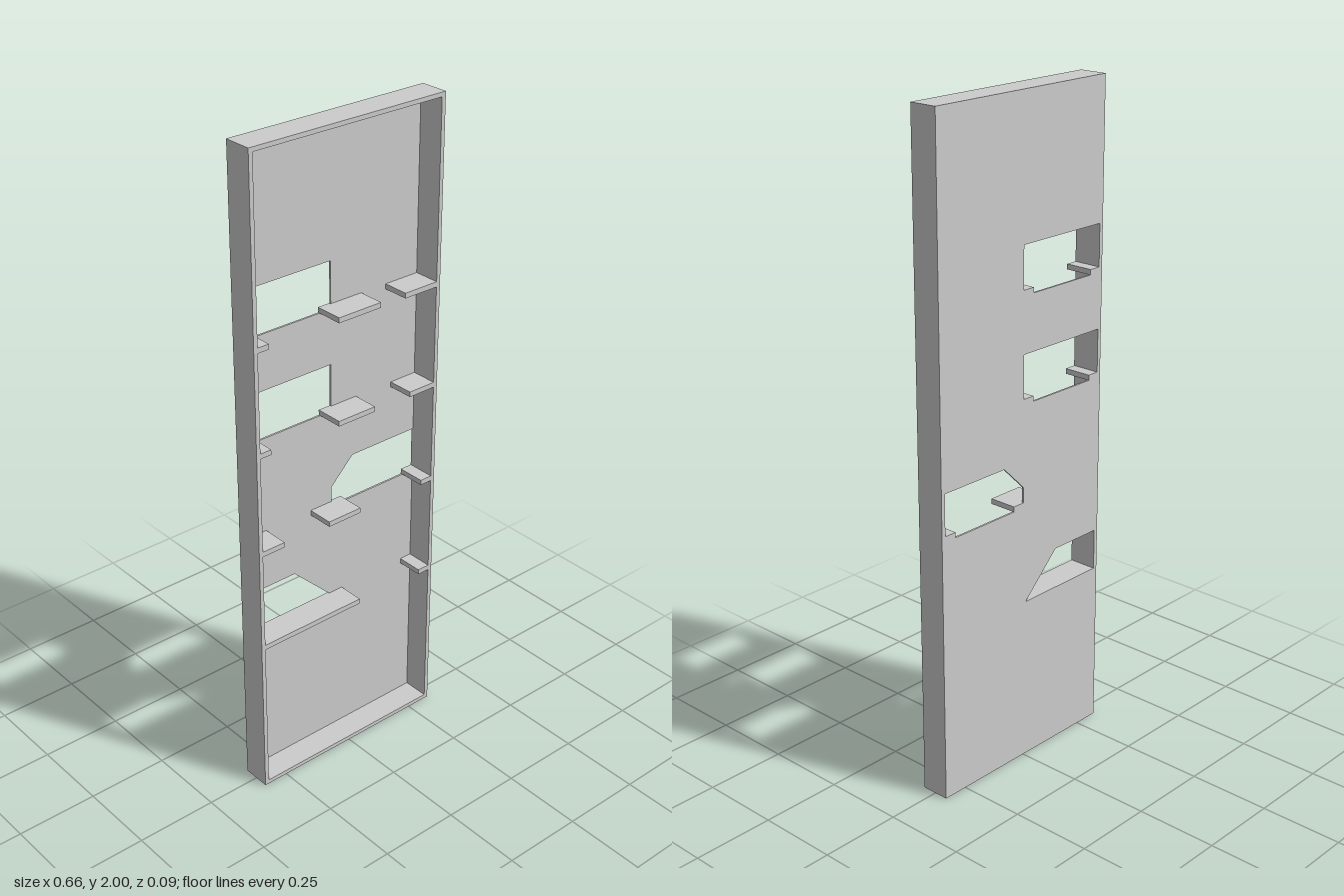
import * as THREE from 'three';

const W = 0.33, H = 2, D = 0.044;   // half width, height, half depth
const T = 0.013;                    // frame wall thickness
const P = 0.006;                    // back panel thickness
const IN = W - T;                   // inner half width

const material = new THREE.MeshStandardMaterial({ color: 0xcccccc, flatShading: true });

const points = (list) => list.map(([x, y]) => new THREE.Vector2(x, y));
const rect = (x0, y0, x1, y1) => [[x0, y0], [x1, y0], [x1, y1], [x0, y1]];

// Flat outline with cut-outs, extruded from z0 to z1
function plate(name, outline, holes, z0, z1) {
  const shape = new THREE.Shape(points(outline));
  holes.forEach((h) => shape.holes.push(new THREE.Path(points(h))));
  const geometry = new THREE.ExtrudeGeometry(shape, { depth: z1 - z0, bevelEnabled: false });
  geometry.translate(0, 0, z0);
  const mesh = new THREE.Mesh(geometry, material);
  mesh.name = name;
  return mesh;
}

export function createModel() {
  const group = new THREE.Group();
  group.name = 'shelfPanel';

  // Back panel with four window openings
  const windows = [
    rect(-IN, 1.439, 0, 1.582),
    rect(-IN, 1.123, 0, 1.27),
    [[0, 0.81], [IN, 0.81], [IN, 0.952], [0.08, 0.952], [0, 0.873]],
    [[-IN, 0.509], [-0.01, 0.509], [-0.14, 0.635], [-IN, 0.635]],
  ];
  group.add(plate('backPanel', rect(-W, 0, W, H), windows, -D, -D + P));

  // Rim around the edge
  group.add(plate('frame', rect(-W, 0, W, H), [rect(-IN, T, IN, H - T)], -D + P, D));

  // Shelf rows: bottom, top, then the x spans of the ledges
  const rows = [
    [1.439, 1.455, [[-IN, -0.28], [-0.04, 0.11], [0.2, IN]]],
    [1.123, 1.139, [[-IN, -0.28], [-0.04, 0.092], [0.225, IN]]],
    [0.81, 0.826, [[-IN, -0.24], [-0.077, 0.04], [0.277, IN]]],
    [0.493, 0.509, [[-IN, 0.04], [0.277, IN]]],
  ];
  rows.forEach(([y0, y1, spans], r) => {
    const row = new THREE.Group();
    row.name = `shelfRow${r + 1}`;
    spans.forEach(([x0, x1], i) => {
      const ledge = new THREE.Mesh(new THREE.BoxGeometry(x1 - x0, y1 - y0, 2 * D), material);
      ledge.position.set((x0 + x1) / 2, (y0 + y1) / 2, 0);
      ledge.name = `ledge${i + 1}`;
      row.add(ledge);
    });
    group.add(row);
  });

  return group;
}
